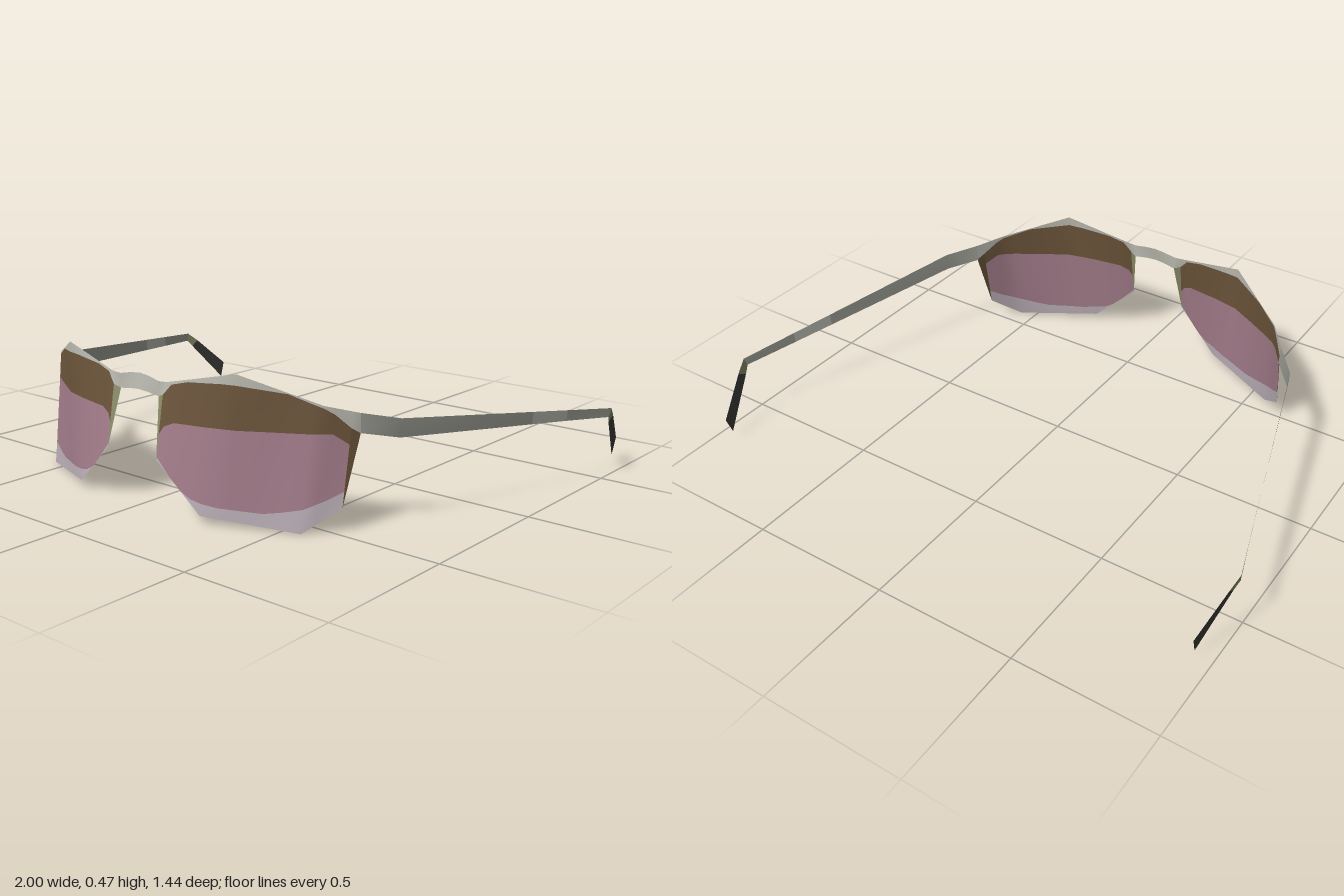
import * as THREE from 'three';

const mat = (name, color) => {
  const m = new THREE.MeshStandardMaterial({ color, side: THREE.DoubleSide });
  m.name = name;
  return m;
};

// Piecewise linear curve through [x, value] points
const curve = (...pts) => (x) => {
  if (x <= pts[0][0]) return pts[0][1];
  for (let i = 1; i < pts.length; i++) {
    const [x0, v0] = pts[i - 1], [x1, v1] = pts[i];
    if (x <= x1) return v0 + (v1 - v0) * (x - x0) / (x1 - x0);
  }
  return pts[pts.length - 1][1];
};

// Lens outline, its depth along both edges, and the borders between colours
const bottomY = curve([0.085, 0.37], [0.11, 0.18], [0.27, 0.03], [0.56, 0.004], [0.645, 0.08], [0.66, 0.30]);
const topY = curve([0.085, 0.418], [0.12, 0.42], [0.37, 0.475], [0.59, 0.388], [0.66, 0.362]);
const bottomZ = curve([0.085, 0.68], [0.11, 0.722], [0.27, 0.70], [0.56, 0.57], [0.645, 0.48], [0.66, 0.415]);
const topZ = curve([0.085, 0.68], [0.12, 0.68], [0.37, 0.64], [0.59, 0.50], [0.66, 0.415]);
const tintTop = curve([0.085, 0.37], [0.11, 0.38], [0.14, 0.415], [0.2, 0.43], [0.36, 0.442], [0.5, 0.42], [0.6, 0.375], [0.66, 0.30]);
const tintMid = curve([0.11, 0.26], [0.125, 0.285], [0.16, 0.30], [0.4, 0.305], [0.61, 0.303], [0.645, 0.27]);
const tintLow = curve([0.11, 0.19], [0.15, 0.145], [0.2, 0.085], [0.3, 0.06], [0.45, 0.055], [0.55, 0.072], [0.61, 0.105], [0.645, 0.13]);
const columns = [0.085, 0.11, 0.125, 0.14, 0.16, 0.2, 0.235, 0.27, 0.32, 0.37, 0.45, 0.5, 0.56, 0.59, 0.61, 0.645, 0.66];

// Sheet between a lower and an upper row of points
function strip(lower, upper, side) {
  const pos = [], index = [];
  lower.forEach((p, i) => {
    for (const q of [p, upper[i]]) pos.push(q[0] * side, q[1], q[2]);
    if (i === 0) return;
    const a = 2 * i - 2, b = a + 1, c = a + 2, d = a + 3;
    if (side > 0) index.push(a, c, d, a, d, b);
    else index.push(a, d, c, a, b, d);
  });
  const g = new THREE.BufferGeometry();
  g.setAttribute('position', new THREE.Float32BufferAttribute(pos, 3));
  g.setIndex(index);
  g.computeVertexNormals();
  return g;
}

// Point on the curved lens surface
function lensPoint(x, y) {
  const lo = bottomY(x), hi = topY(x);
  const yy = Math.min(hi, Math.max(lo, y));
  const t = (yy - lo) / (hi - lo);
  return [x, yy, bottomZ(x) + (topZ(x) - bottomZ(x)) * t];
}

function lensBand(lower, upper, x0, x1, side) {
  const xs = columns.filter((x) => x >= x0 && x <= x1);
  return strip(xs.map((x) => lensPoint(x, lower(x))), xs.map((x) => lensPoint(x, upper(x))), side);
}

export function createModel() {
  const model = new THREE.Group();
  model.name = 'sunglasses';
  const silver = mat('silver frame', 0xb9b9b0);
  const grey = mat('grey temple', 0x9d9e95);
  const brown = mat('brown tint', 0x6b543a);
  const pink = mat('pink tint', 0xa27c8a);
  const pale = mat('pale rim', 0xb9adb5);
  const olive = mat('olive edge', 0x8a8d69);
  const dark = mat('dark tip', 0x3c3e3a);

  const add = (parent, name, geometry, material) => {
    const mesh = new THREE.Mesh(geometry, material);
    mesh.name = name;
    parent.add(mesh);
  };

  // Bridge
  add(model, 'bridge', strip(
    [[-0.085, 0.37, 0.68], [-0.04, 0.377, 0.683], [0, 0.38, 0.684], [0.04, 0.377, 0.683], [0.085, 0.37, 0.68]],
    [[-0.085, 0.418, 0.68], [-0.04, 0.427, 0.677], [0, 0.431, 0.676], [0.04, 0.427, 0.677], [0.085, 0.418, 0.68]], 1), silver);

  // Temple cross-sections by depth: x, top and bottom height
  const templeX = curve([-0.55, 0.998], [0.32, 0.74], [0.415, 0.66]);
  const templeTop = curve([-0.55, 0.24], [0.32, 0.34], [0.415, 0.362]);
  const templeLow = curve([-0.55, 0.21], [0.32, 0.28], [0.415, 0.30]);
  const templePart = (zs, side) => strip(
    zs.map((z) => [templeX(z) - 0.004, templeLow(z), z + 0.01 * (z < -0.5)]),
    zs.map((z) => [templeX(z), templeTop(z), z]), side);

  for (const side of [1, -1]) {
    const word = side > 0 ? 'left' : 'right';

    // Lens and its rim
    const lens = new THREE.Group();
    lens.name = word + 'Lens';
    model.add(lens);
    add(lens, 'upperRim', lensBand(tintTop, topY, 0.085, 0.66, side), silver);
    add(lens, 'upperTint', lensBand(tintMid, tintTop, 0.11, 0.645, side), brown);
    add(lens, 'lowerTint', lensBand(tintLow, tintMid, 0.11, 0.645, side), pink);
    add(lens, 'lowerRim', lensBand(bottomY, tintLow, 0.11, 0.645, side), pale);
    add(lens, 'innerEdge', lensBand(bottomY, tintTop, 0.085, 0.11, side), olive);
    add(lens, 'outerEdge', lensBand(bottomY, tintTop, 0.645, 0.66, side), brown);

    // Temple with a bright section, and the bent ear tip
    const temple = new THREE.Group();
    temple.name = word + 'Temple';
    model.add(temple);
    add(temple, 'frontArm', templePart([0.415, 0.32, -0.2], side), grey);
    add(temple, 'brightArm', templePart([-0.2, -0.35], side), silver);
    add(temple, 'rearArm', templePart([-0.35, -0.55], side), grey);
    add(temple, 'bend', strip(
      [[0.994, 0.21, -0.54], [0.985, 0.185, -0.562]],
      [[0.998, 0.24, -0.55], [0.985, 0.205, -0.595]], side), olive);
    add(temple, 'earTip', strip(
      [[0.985, 0.185, -0.562], [0.942, 0.03, -0.70]],
      [[0.985, 0.205, -0.595], [0.945, 0.09, -0.72]], side), dark);
  }
  return model;
}
